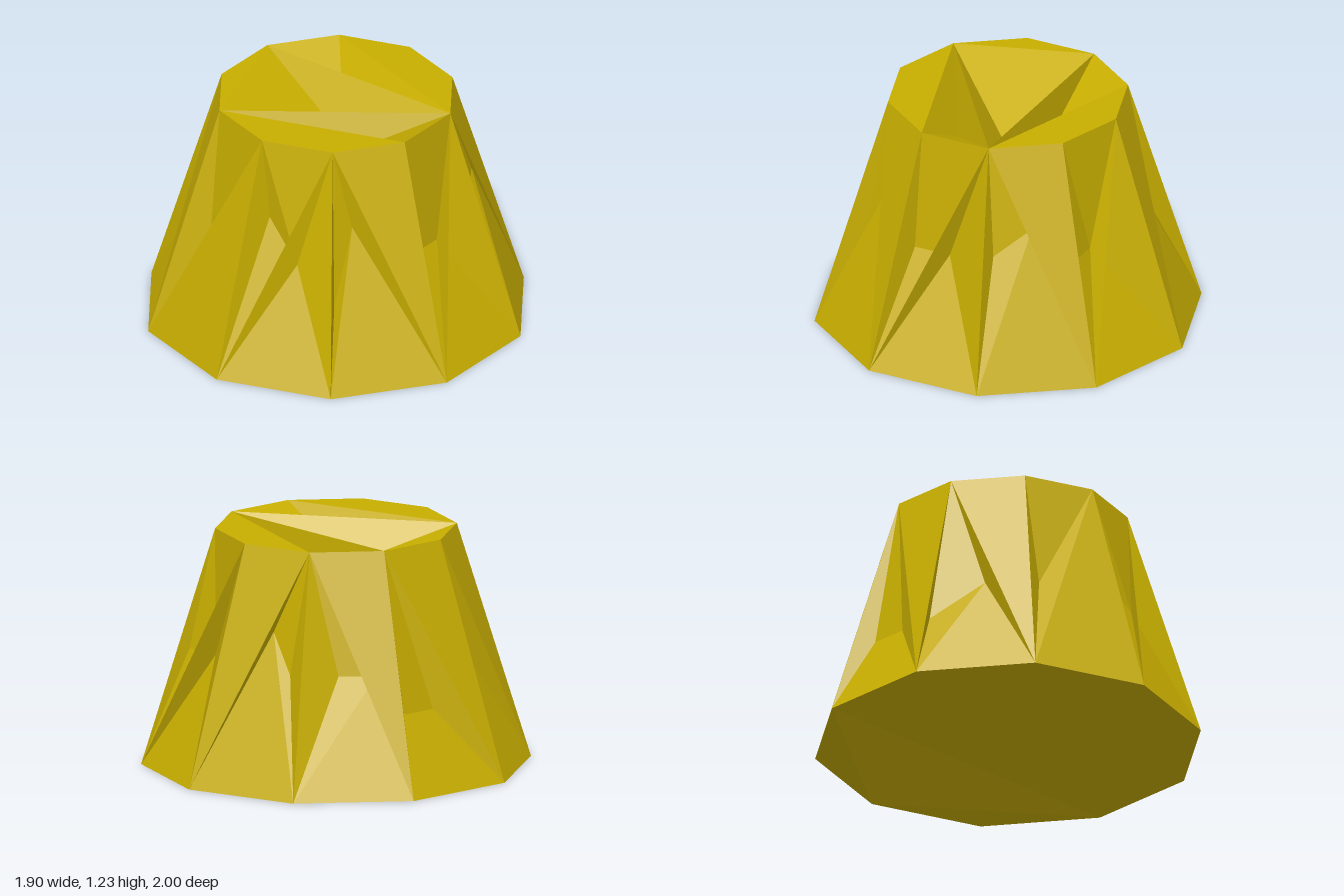
import * as THREE from 'three';

const SIDES = 10, HEIGHT = 1.23;

// One ring of corners, starting at the front and turning towards +x
const ring = (r, y) => Array.from({ length: SIDES }, (_, k) => {
  const a = (k / SIDES) * Math.PI * 2;
  return [r * Math.sin(a), y, r * Math.cos(a)];
});

// A triangle: flat, dented to one point p, or notched along a line p-q (p by edge a-b)
function facet(out, a, b, c, p, q = p) {
  if (!p) out.push(a, b, c);
  else out.push(a, b, p, b, c, q, c, a, q);
  if (p !== q) out.push(b, q, p, a, p, q);
}

function facetMesh(name, corners, material) {
  const geometry = new THREE.BufferGeometry();
  geometry.setAttribute('position', new THREE.Float32BufferAttribute(corners.flat(), 3));
  geometry.computeVertexNormals();
  const mesh = new THREE.Mesh(geometry, material);
  mesh.name = name;
  return mesh;
}

export function createModel() {
  const group = new THREE.Group();
  group.name = 'chippedStump';
  const material = new THREE.MeshStandardMaterial({
    color: 0xc8ae00, flatShading: true, side: THREE.DoubleSide,
  });
  const B = ring(1, 0), T = ring(0.62, HEIGHT);

  // Side panels: notch line p-q; a rising panel is notched above its diagonal, a
  // falling one below it. "both" also hollows the other half down to q.
  const panels = [
    { rising: true, both: true, p: [0.05, 0.8, 0.62], q: [0.25, 0.6, 0.65] },
    { p: [0.45, 0.4, 0.6], q: [0.45, 0.8, 0.45] },
    { rising: true, both: true, p: [0.65, 0.6, 0.2], q: [0.65, 0.6, 0] },
    { p: [0.65, 0.65, -0.25], q: [0.55, 0.8, -0.42] },
    { rising: true, both: true, p: [0.45, 0.6, -0.6], q: [0.25, 0.6, -0.6] },
    { mirrored: true, p: [-0.35, 0.6, -0.62], q: [-0.2, 0.8, -0.6] },
    { p: [-0.53, 0.6, -0.45], q: [-0.65, 0.6, -0.3] },
    { p: [-0.75, 0.4, -0.2], q: [-0.75, 0.4, 0] },
    { p: [-0.75, 0.4, 0.2], q: [-0.55, 0.6, 0.4] },
    { rising: true, p: [-0.35, 0.6, 0.59] },
  ];
  const sides = [];
  panels.forEach(({ rising, mirrored, both, p, q }, k) => {
    const n = (k + 1) % SIDES;
    if (mirrored) {
      facet(sides, B[n], T[n], B[k], p, q);
      facet(sides, B[k], T[n], T[k]);
    } else if (rising) {
      facet(sides, T[k], B[k], T[n], p, q);
      facet(sides, B[k], B[n], T[n], both && q);
    } else {
      facet(sides, T[k], B[k], B[n], p, q);
      facet(sides, T[k], B[n], T[n]);
    }
  });
  group.add(facetMesh('sidePanels', sides, material));

  // Hollowed top
  const top = [];
  [
    [3, 4, 5],
    [3, 5, 6],
    [3, 6, 7, [-0.12, 1.03, -0.21]],
    [3, 7, 9, [0.05, 0.98, 0]],
    [7, 8, 9],
    [2, 3, 9, [0.2, 1.03, 0.18]],
    [1, 2, 9],
    [0, 1, 9],
  ].forEach(([a, b, c, dent]) => facet(top, T[a], T[b], T[c], dent));
  group.add(facetMesh('hollowTop', top, material));

  // Base with one dent
  const base = [];
  [
    [5, 4, 3], [7, 6, 5], [7, 5, 3, [0, 0.22, -0.54]],
    [9, 8, 7], [1, 0, 9], [3, 2, 1], [9, 7, 3], [9, 3, 1],
  ].forEach(([a, b, c, dent]) => facet(base, B[a], B[b], B[c], dent));
  group.add(facetMesh('base', base, material));

  return group;
}
